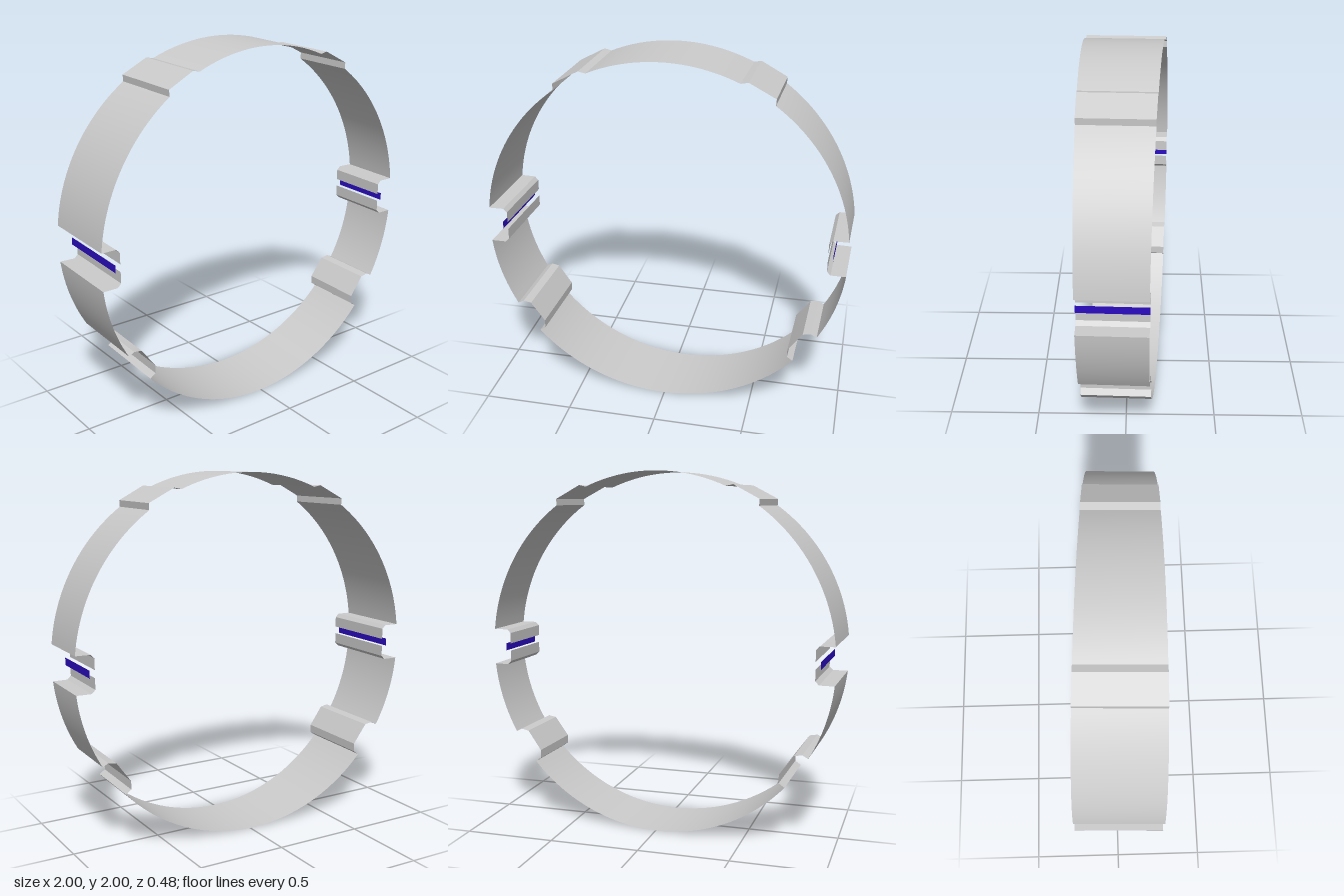
import * as THREE from 'three';
import { toCreasedNormals } from 'three/addons/utils/BufferGeometryUtils.js';

const FRONT = 0.24;
const grey = new THREE.MeshStandardMaterial({ color: 0xcccccc, side: THREE.DoubleSide });
const blue = new THREE.MeshStandardMaterial({ color: 0x2a0cc0, side: THREE.DoubleSide });

// points on the unit ring (centre at y = 1), angles given in degrees
function arc(from, to) {
  const n = Math.max(2, Math.ceil(Math.abs(to - from) / 2));
  return Array.from({ length: n + 1 }, (_, i) => {
    const a = THREE.MathUtils.degToRad(from + ((to - from) * i) / n);
    return [Math.cos(a), 1 + Math.sin(a)];
  });
}
const angle = (x, y) => THREE.MathUtils.radToDeg(Math.atan2(y - 1, x));

// completes a right-hand half profile with its mirror image
function mirrored(half) {
  return [...half, ...half.slice(0, -1).reverse().map(([x, y]) => [-x, y])];
}

// sweeps a profile from the flat front to the slanted back, leaning slightly in x
function sheet(name, profile, material) {
  const pos = [], index = [];
  profile.forEach(([x, y], i) => {
    for (const z of [FRONT, -0.18 + 0.06 * x]) pos.push(x - 0.03 * z + 0.002, y, z);
    if (i < profile.length - 1) {
      const f = 2 * i;
      index.push(f + 1, f + 3, f, f, f + 3, f + 2);
    }
  });
  const geo = new THREE.BufferGeometry();
  geo.setAttribute('position', new THREE.Float32BufferAttribute(pos, 3));
  geo.setIndex(index);
  const mesh = new THREE.Mesh(toCreasedNormals(geo, 0.15), material);
  mesh.name = name;
  return mesh;
}

export function createModel() {
  const group = new THREE.Group();
  group.name = 'segmentRing';

  // upper band: side channel lip, side wall, raised shoulder, crown
  const upper = [
    [0.893, 1.021], [0.893, 1.082], [0.913, 1.102],
    ...arc(angle(0.995, 1.102), angle(0.58, 1.815)),
    [0.582, 1.85], [0.44, 1.925],
    ...arc(angle(0.4, 1.917), 90),
  ];
  group.add(sheet('upperBand', mirrored(upper), grey));

  // lower band: side channel lip, side wall, recessed step, floor
  const lower = [
    [0.893, 0.979], [0.893, 0.918], [0.913, 0.898],
    ...arc(angle(0.995, 0.898), angle(0.864, 0.503)),
    [0.835, 0.518], [0.79, 0.51], [0.711, 0.4], [0.711, 0.353],
    ...arc(angle(0.743, 0.331), -90),
  ];
  group.add(sheet('lowerBand', mirrored(lower).reverse(), grey));

  // coloured strips set back in the side channels
  for (const s of [1, -1]) {
    const strip = [[s * 0.921, 1 - s * 0.021], [s * 0.921, 1 + s * 0.021]];
    group.add(sheet(s > 0 ? 'leftStrip' : 'rightStrip', strip, blue));
  }
  return group;
}
